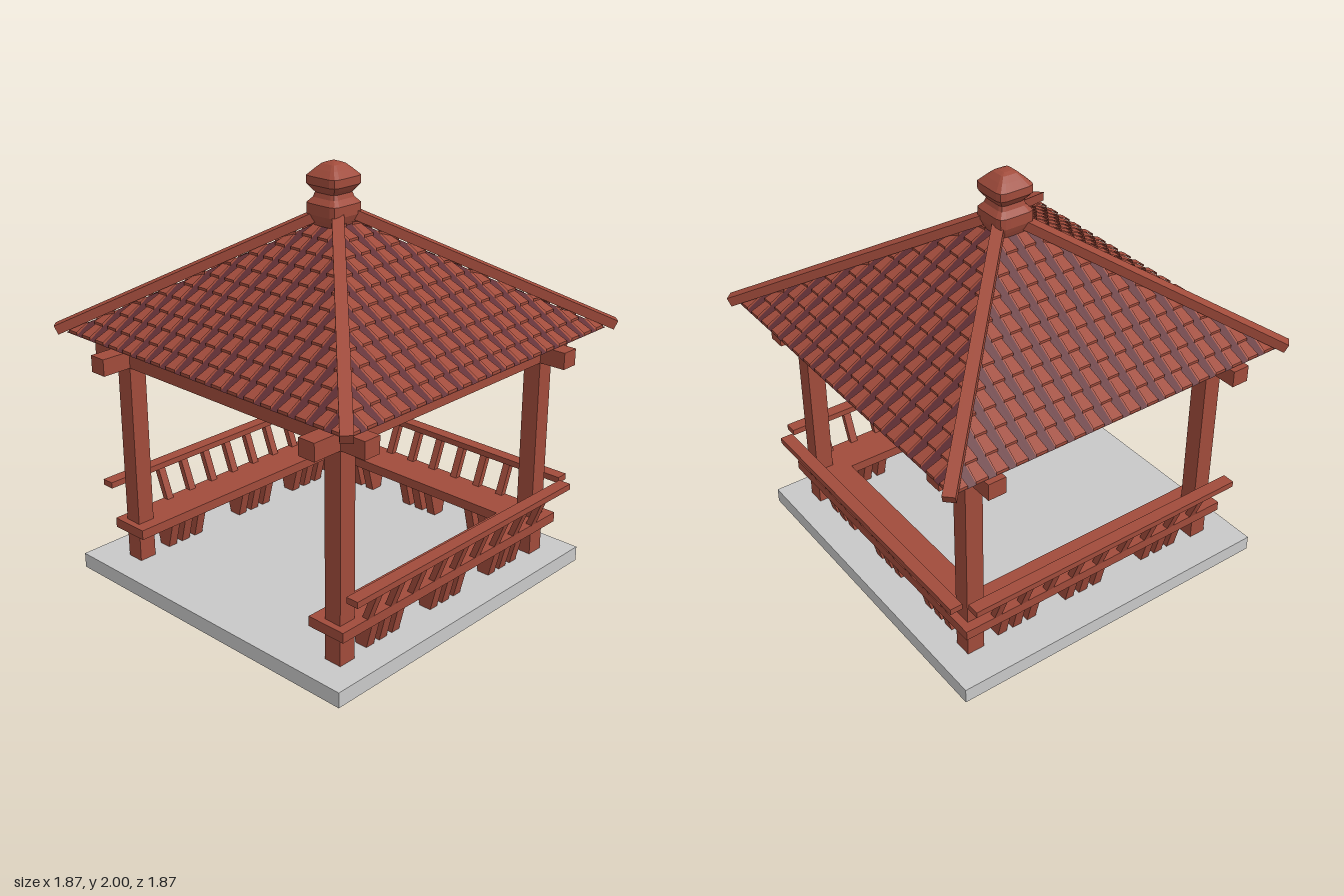
import * as THREE from 'three';

const wood = new THREE.MeshStandardMaterial({ color: 0xa04b3b, side: THREE.DoubleSide });
wood.name = 'redWood';
const dark = new THREE.MeshStandardMaterial({ color: 0x633036, side: THREE.DoubleSide });
dark.name = 'darkTile';
const stone = new THREE.MeshStandardMaterial({ color: 0xc8c8c8 });
stone.name = 'greyStone';

function add(parent, name, geometry, material, x = 0, y = 0, z = 0) {
  const mesh = new THREE.Mesh(geometry, material);
  mesh.name = name;
  mesh.position.set(x, y, z);
  parent.add(mesh);
  return mesh;
}

// Box given by its minimum and maximum on each axis
function block(parent, name, material, x0, x1, y0, y1, z0, z1) {
  return add(parent, name, new THREE.BoxGeometry(x1 - x0, y1 - y0, z1 - z0), material,
    (x0 + x1) / 2, (y0 + y1) / 2, (z0 + z1) / 2);
}

// Prism with a four-sided outline in x/y, centred on z
function prism(parent, name, points, depth, z) {
  const shape = new THREE.Shape(points.map(p => new THREE.Vector2(...p)));
  const geo = new THREE.ExtrudeGeometry(shape, { depth, bevelEnabled: false });
  return add(parent, name, geo, wood, 0, 0, z - depth / 2);
}

function meshFromPoints(parent, name, points, material) {
  const geo = new THREE.BufferGeometry();
  geo.setAttribute('position', new THREE.Float32BufferAttribute(points, 3));
  geo.computeVertexNormals();
  return add(parent, name, geo, material);
}

// Bench with backrest along the +x side
function makeBench(name, middleShift) {
  const bench = new THREE.Group();
  bench.name = name;
  block(bench, 'seat', wood, 0.552, 0.751, 0.222, 0.27, -0.75, 0.75);
  block(bench, 'topRail', wood, 0.769, 0.831, 0.42, 0.45, -0.75, 0.75);
  // Leaning balusters
  for (let i = -4; i <= 4; i++) {
    prism(bench, 'baluster', [[0.716, 0.26], [0.748, 0.26], [0.812, 0.425], [0.78, 0.425]], 0.038, i * 0.145);
  }
  // Tapered legs in three groups of three
  for (let g = -1; g <= 1; g++) {
    for (let k = -1; k <= 1; k++) {
      prism(bench, 'benchLeg', [[0.626, 0.07], [0.686, 0.07], [0.726, 0.225], [0.586, 0.225]], 0.048,
        g * 0.428 + k * 0.083 + (g === 0 ? middleShift : 0));
    }
  }
  return bench;
}

// One triangular roof face towards +z: striped sheet with stepped tiles on top
const APEX = 1.76, SLOPE = 0.625, EAVE = 0.88, RIBS = 18, ROWS = 12;

function makeRoofFace() {
  const face = new THREE.Group();
  face.name = 'roofFace';
  const sheet = [], gaps = [], tiles = [];
  const corner = (u, d, lift = 0) => {
    const e = Math.max(d, Math.abs(u));
    return [u, APEX - SLOPE * e + lift, e];
  };
  const quad = (out, a, b, c, d) => out.push(...a, ...b, ...c, ...a, ...c, ...d);
  const strip = (out, u0, u1) =>
    quad(out, corner(u0, EAVE), corner(u1, EAVE), corner(u1, 0), corner(u0, 0));
  const pitch = 2 * EAVE / RIBS, half = pitch * 0.27, step = EAVE / ROWS;
  for (let i = 0; i < RIBS; i++) {
    const u = -EAVE + (i + 0.5) * pitch;
    strip(gaps, u - pitch / 2, u - half);
    strip(sheet, u - half, u + half);
    strip(gaps, u + half, u + pitch / 2);
    for (let r = 0; r < ROWS; r++) {
      const d0 = r * step, d1 = d0 + step;
      if (d1 < Math.abs(u)) continue;
      const wide = half * 1.12, slim = half * 0.85;
      const a = corner(u - wide, d1, 0.016), b = corner(u + wide, d1, 0.016);
      quad(tiles, a, b, corner(u + slim, d0, 0.005), corner(u - slim, d0, 0.005));
      quad(tiles, corner(u - wide, d1, 0.003), corner(u + wide, d1, 0.003), b, a);
    }
  }
  meshFromPoints(face, 'tileSheet', sheet, wood);
  meshFromPoints(face, 'tileGaps', gaps, dark);
  meshFromPoints(face, 'raisedTiles', tiles, wood);
  return face;
}

function makeRoof() {
  const roof = new THREE.Group();
  roof.name = 'roof';
  for (let i = 0; i < 4; i++) {
    const face = makeRoofFace();
    face.rotation.y = i * Math.PI / 2;
    roof.add(face);
  }
  // Hip ridges running from the corners to the peak
  for (const sx of [-1, 1]) {
    for (const sz of [-1, 1]) {
      const low = new THREE.Vector3(sx * 0.91, 1.228, sz * 0.91);
      const high = new THREE.Vector3(sx * 0.05, 1.765, sz * 0.05);
      const ridge = add(roof, 'hipRidge', new THREE.BoxGeometry(0.055, 0.045, low.distanceTo(high)), wood);
      ridge.position.copy(low).add(high).multiplyScalar(0.5);
      ridge.lookAt(high);
    }
  }
  return roof;
}

// Finial: turned profile pushed out to a rounded square
function makeFinial(parent) {
  const profile = [[0, 1.713], [0.072, 1.713], [0.085, 1.74], [0.095, 1.765], [0.095, 1.815],
    [0.072, 1.84], [0.065, 1.862], [0.08, 1.88], [0.095, 1.9], [0.095, 1.938],
    [0.066, 1.968], [0.042, 1.99], [0.022, 1.998], [0, 2]];
  let geo = new THREE.LatheGeometry(profile.map(p => new THREE.Vector2(...p)), 32);
  const pos = geo.attributes.position;
  for (let i = 0; i < pos.count; i++) {
    const x = pos.getX(i), z = pos.getZ(i), r = Math.hypot(x, z);
    if (r < 1e-6) continue;
    const k = 1 / Math.pow(Math.abs(x / r) ** 7 + Math.abs(z / r) ** 7, 1 / 7);
    pos.setX(i, x * k);
    pos.setZ(i, z * k);
  }
  geo = geo.toNonIndexed();
  geo.computeVertexNormals();
  add(parent, 'finial', geo, wood, -0.015, 0, 0.006);
}

export function createModel() {
  const model = new THREE.Group();
  model.name = 'gazebo';
  block(model, 'baseSlab', stone, -0.857, 0.847, 0, 0.074, -0.82, 0.884);

  // Posts and crossing beams
  const frame = new THREE.Group();
  frame.name = 'frame';
  frame.position.set(0.017, 0, 0.027);
  model.add(frame);
  const P = 0.66, H = 0.044;
  for (const a of [-P, P]) {
    for (const b of [-P, P]) {
      const z = b * 1.017;
      block(frame, 'post', wood, a - H, a + H, 0.07, 1.27, z - H, z + H);
    }
    block(frame, 'sideBeam', wood, a - H, a + H, 1.07, 1.151, -0.842, 0.862);
    block(frame, 'crossBeam', wood, -0.869, 0.835, 1.07, 1.151, a * 1.017 - H, a * 1.017 + H);
  }

  // Benches on three sides, the front stays open
  const benches = [['leftBench', 0, 0], ['backBench', Math.PI / 2, 0], ['rightBench', Math.PI, 0.04]];
  for (const [name, turn, shift] of benches) {
    const bench = makeBench(name, shift);
    bench.rotation.y = turn;
    bench.position.set(0.016, 0, 0.024);
    model.add(bench);
  }

  const roof = makeRoof();
  roof.position.set(-0.004, 0, -0.006);
  model.add(roof);
  makeFinial(model);
  return model;
}
